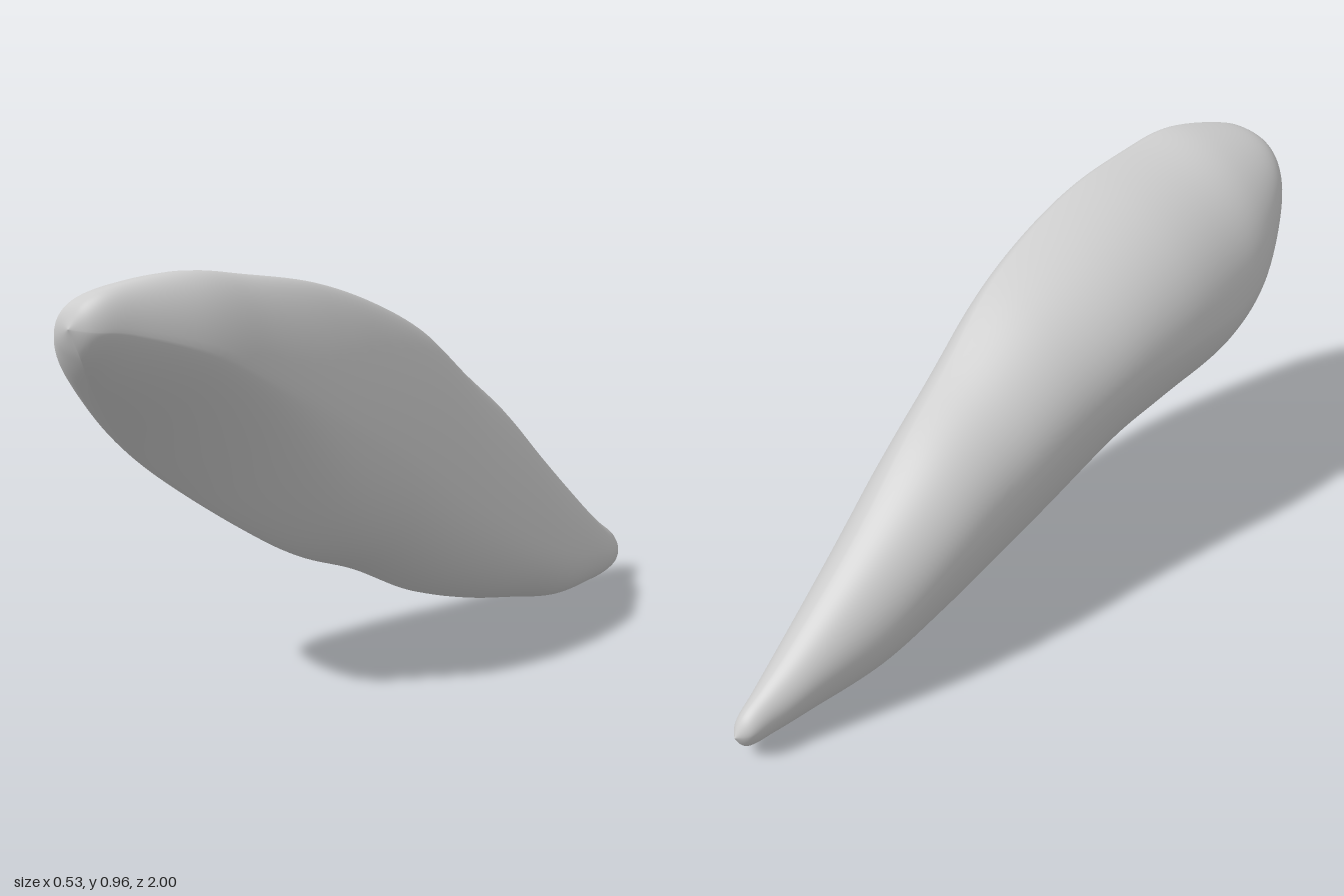
import * as THREE from 'three';

// Cross-sections from tail to nose:
// z, left x, right x, bottom y, top y, x of top, x of bottom, y of left edge, y of right edge
const SECTIONS = [
  [-1.00, -0.045, -0.045, 0.075, 0.075, -0.045, -0.045, 0.075, 0.075],
  [-0.97, -0.078, -0.01, 0.03, 0.12, -0.045, -0.04, 0.085, 0.07],
  [-0.90, -0.096, 0.02, 0.014, 0.165, -0.045, -0.025, 0.105, 0.07],
  [-0.80, -0.125, 0.055, 0.006, 0.24, -0.045, -0.015, 0.15, 0.085],
  [-0.60, -0.18, 0.117, 0.002, 0.40, -0.035, 0.0, 0.23, 0.12],
  [-0.40, -0.208, 0.167, 0.033, 0.55, 0.0, 0.01, 0.34, 0.18],
  [-0.20, -0.217, 0.207, 0.07, 0.665, 0.045, 0.03, 0.42, 0.26],
  [0.00, -0.232, 0.237, 0.125, 0.785, 0.09, 0.04, 0.51, 0.36],
  [0.20, -0.255, 0.258, 0.212, 0.867, 0.115, 0.05, 0.58, 0.48],
  [0.40, -0.265, 0.263, 0.285, 0.922, 0.125, 0.02, 0.60, 0.59],
  [0.60, -0.254, 0.236, 0.44, 0.948, 0.115, -0.12, 0.61, 0.71],
  [0.75, -0.226, 0.196, 0.565, 0.96, 0.10, -0.13, 0.66, 0.79],
  [0.90, -0.15, 0.115, 0.70, 0.935, 0.06, -0.04, 0.77, 0.835],
  [0.97, -0.07, 0.07, 0.78, 0.90, 0.03, 0.02, 0.83, 0.84],
  [1.00, 0.02, 0.02, 0.845, 0.845, 0.02, 0.02, 0.845, 0.845],
];

// Smooth spline through the section table
function sectionAt(u) {
  const last = SECTIONS.length - 1;
  const i = Math.min(Math.floor(u), last - 1);
  const t = u - i;
  const row = (k) => SECTIONS[Math.max(0, Math.min(last, k))];
  const [a, b, c, d] = [row(i - 1), row(i), row(i + 1), row(i + 2)];
  return b.map((v, k) => v + 0.5 * t * (c[k] - a[k]
    + t * (2 * a[k] - 5 * v + 4 * c[k] - d[k]
    + t * (3 * (v - c[k]) + d[k] - a[k]))));
}

// Curve power of a quarter: 1 is elliptical, 2 is flat, below 1 is boxy
function quarterPower(isRight, isTop, z) {
  const nose = THREE.MathUtils.smoothstep(z, 0.35, 0.75);
  if (isTop) return isRight ? THREE.MathUtils.lerp(1.25, 1, nose) : 1;
  return isRight
    ? THREE.MathUtils.lerp(0.92, 1.4, nose)
    : THREE.MathUtils.lerp(1.25, 0.9, nose);
}

// Lofted skin: each ring joins four curved quarters
function bodyGeometry(rings = 112, sides = 64) {
  const positions = [];
  const indices = [];
  for (let i = 0; i <= rings; i++) {
    const [z, xL, xR, yB, yT, xTop, xBot, yL, yR] =
      sectionAt((i / rings) * (SECTIONS.length - 1));
    for (let j = 0; j < sides; j++) {
      const angle = (j / sides) * Math.PI * 2;
      const c = Math.cos(angle);
      const s = Math.sin(angle);
      const power = quarterPower(c >= 0, s >= 0, z);
      const cx = s >= 0 ? xTop : xBot;
      const cy = c >= 0 ? yR : yL;
      positions.push(
        cx + Math.abs(c) ** power * ((c >= 0 ? xR : xL) - cx),
        cy + Math.abs(s) ** power * ((s >= 0 ? yT : yB) - cy),
        z,
      );
      if (i < rings) {
        const a = i * sides + j;
        const b = i * sides + ((j + 1) % sides);
        indices.push(a, b, a + sides, b, b + sides, a + sides);
      }
    }
  }
  const geometry = new THREE.BufferGeometry();
  geometry.setAttribute('position', new THREE.Float32BufferAttribute(positions, 3));
  geometry.setIndex(indices);
  geometry.computeVertexNormals();
  return geometry;
}

export function createModel() {
  const group = new THREE.Group();
  group.name = 'taperedStone';
  const lightGrey = new THREE.MeshStandardMaterial({ color: 0xcccccc });
  lightGrey.name = 'lightGrey';
  const body = new THREE.Mesh(bodyGeometry(), lightGrey);
  body.name = 'body';
  group.add(body);
  return group;
}
